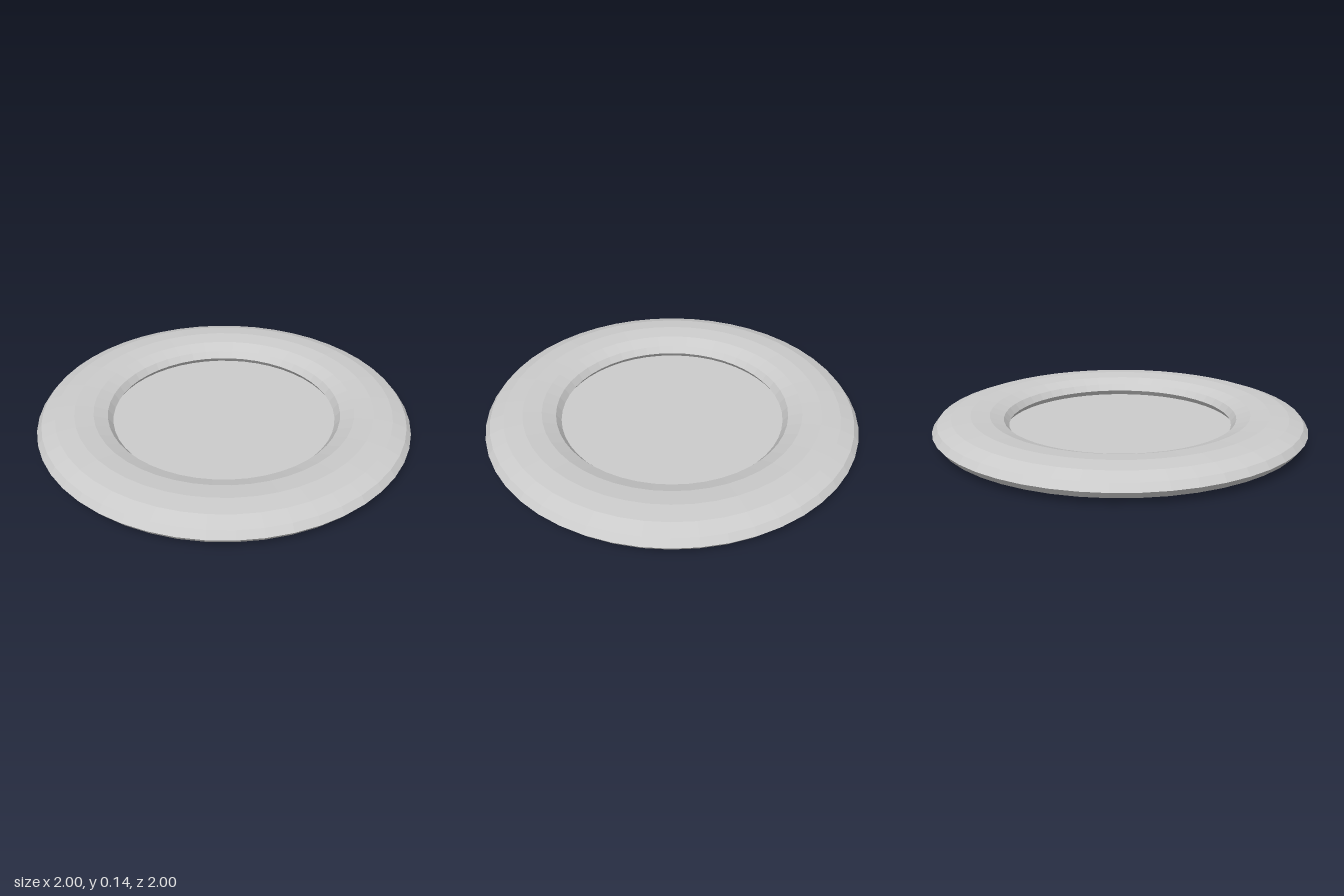
import * as THREE from 'three';

export function createModel() {
  const group = new THREE.Group();
  group.name = 'ringedDisc';
  const midHeight = 0.07;

  // Flattened twelve-sided ring
  const ringGeometry = new THREE.TorusGeometry(0.8, 0.2, 12, 48);
  ringGeometry.rotateX(-Math.PI / 2);
  ringGeometry.scale(1, midHeight / 0.2, 1);
  const ring = new THREE.Mesh(
    ringGeometry,
    new THREE.MeshStandardMaterial({ color: 0xcccccc, flatShading: true })
  );
  ring.name = 'rim';
  ring.position.y = midHeight;
  group.add(ring);

  // Thin plate closing the hole, its edge tucked inside the ring
  const plateGeometry = new THREE.CircleGeometry(0.64, 48);
  plateGeometry.rotateX(-Math.PI / 2);
  const plate = new THREE.Mesh(
    plateGeometry,
    new THREE.MeshStandardMaterial({ color: 0xcccccc, side: THREE.DoubleSide })
  );
  plate.name = 'centrePlate';
  plate.position.y = 0.04;
  group.add(plate);

  return group;
}
